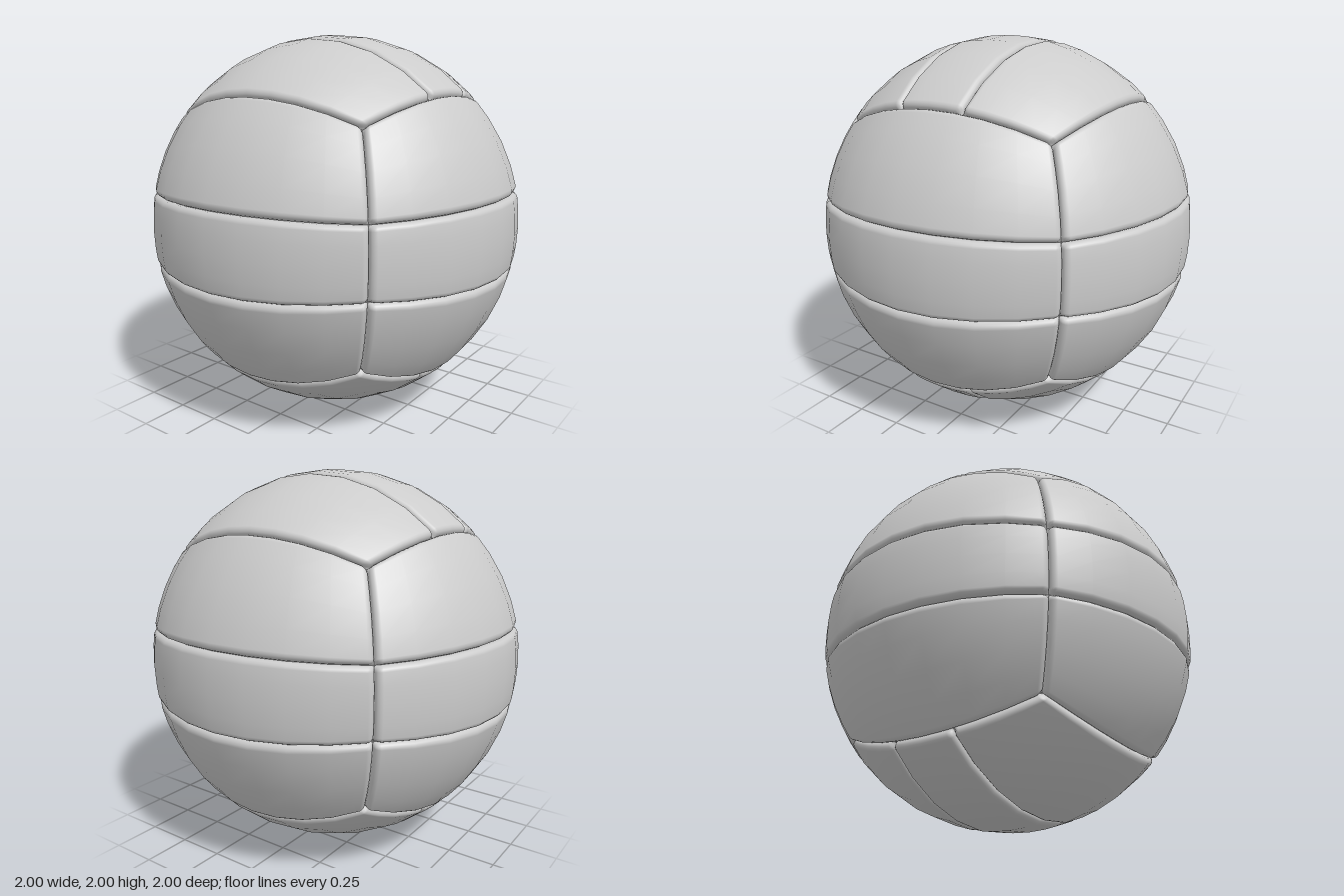
import * as THREE from 'three';

const BEVEL = 0.034;   // angular width of the rounded panel edge
const DEPTH = 0.034;   // how far the edge sinks into the seam
const SKIRT = 0.92;    // radius of the hidden wall under the seam
const EDGE = [0, 0.004, 0.011, 0.021, BEVEL];

// Stations across a panel: dense at both rounded edges, even in between.
// f is the fraction across, d the distance to the nearer edge.
function stations(length, segments) {
  const start = EDGE.map((d) => ({ f: d / length, d }));
  const middle = [];
  for (let i = 1; i < segments; i++) {
    const f = i / segments;
    middle.push({ f, d: Math.min(f, 1 - f) * length });
  }
  const end = EDGE.map((d) => ({ f: 1 - d / length, d })).reverse();
  return [{ f: 0, d: 0, skirt: true }, ...start, ...middle, ...end, { f: 1, d: 0, skirt: true }];
}

// Seam line k (0..3) on a face, as an angle from the face's middle line;
// the two inner seams are gently curved, the outer ones are great circles.
function seamAngle(k, t) {
  const inner = 0.204 + 0.052 * t * t;
  return Math.atan([-1, -inner, inner, 1][k] / Math.sqrt(1 + t * t));
}

// One padded strip: u runs along it, v across it, n points out of the ball.
function panelGeometry(strip, u, v, n) {
  const along = stations(Math.PI / 2, 8);
  const across = stations(strip === 1 ? 0.4 : 0.54, 4);
  const positions = [], index = [];
  const p = new THREE.Vector3();
  for (const a of along) {
    const t = Math.tan((a.f - 0.5) * Math.PI / 2);
    const low = seamAngle(strip, t), high = seamAngle(strip + 1, t);
    for (const b of across) {
      const w = Math.tan(THREE.MathUtils.lerp(low, high, b.f)) * Math.sqrt(1 + t * t);
      const ea = Math.max(0, 1 - a.d / BEVEL), eb = Math.max(0, 1 - b.d / BEVEL);
      const e = Math.min(1, Math.hypot(ea, eb));
      const r = a.skirt || b.skirt ? SKIRT : 1 - DEPTH * (1 - Math.sqrt(1 - e * e));
      p.copy(n).addScaledVector(u, t).addScaledVector(v, w).setLength(r);
      positions.push(p.x, p.y, p.z);
    }
  }
  const m = across.length;
  for (let i = 0; i < along.length - 1; i++) {
    for (let j = 0; j < m - 1; j++) {
      const q = i * m + j;
      index.push(q, q + m, q + m + 1, q, q + m + 1, q + 1);
    }
  }
  const geometry = new THREE.BufferGeometry();
  geometry.setAttribute('position', new THREE.Float32BufferAttribute(positions, 3));
  geometry.setIndex(index);
  geometry.computeVertexNormals();
  return geometry;
}

export function createModel() {
  const ball = new THREE.Group();
  ball.name = 'ball';
  const material = new THREE.MeshStandardMaterial({ color: 0xcccccc });
  const X = new THREE.Vector3(1, 0, 0), Y = new THREE.Vector3(0, 1, 0), Z = new THREE.Vector3(0, 0, 1);

  // Six faces: outward direction and the direction its strips run
  const faces = [
    ['front', Z, X],
    ['back', Z.clone().negate(), X],
    ['left', X, Z],
    ['right', X.clone().negate(), Z],
    ['top', Y, Z],
    ['bottom', Y.clone().negate(), Z],
  ];
  for (const [name, n, u] of faces) {
    const face = new THREE.Group();
    face.name = name + 'Panels';
    const v = n.clone().cross(u);
    ['SideStripA', 'MiddleStrip', 'SideStripB'].forEach((label, strip) => {
      const mesh = new THREE.Mesh(panelGeometry(strip, u, v, n), material);
      mesh.name = name + label;
      face.add(mesh);
    });
    ball.add(face);
  }
  ball.position.y = 1;

  const model = new THREE.Group();
  model.name = 'volleyball';
  model.add(ball);
  return model;
}
